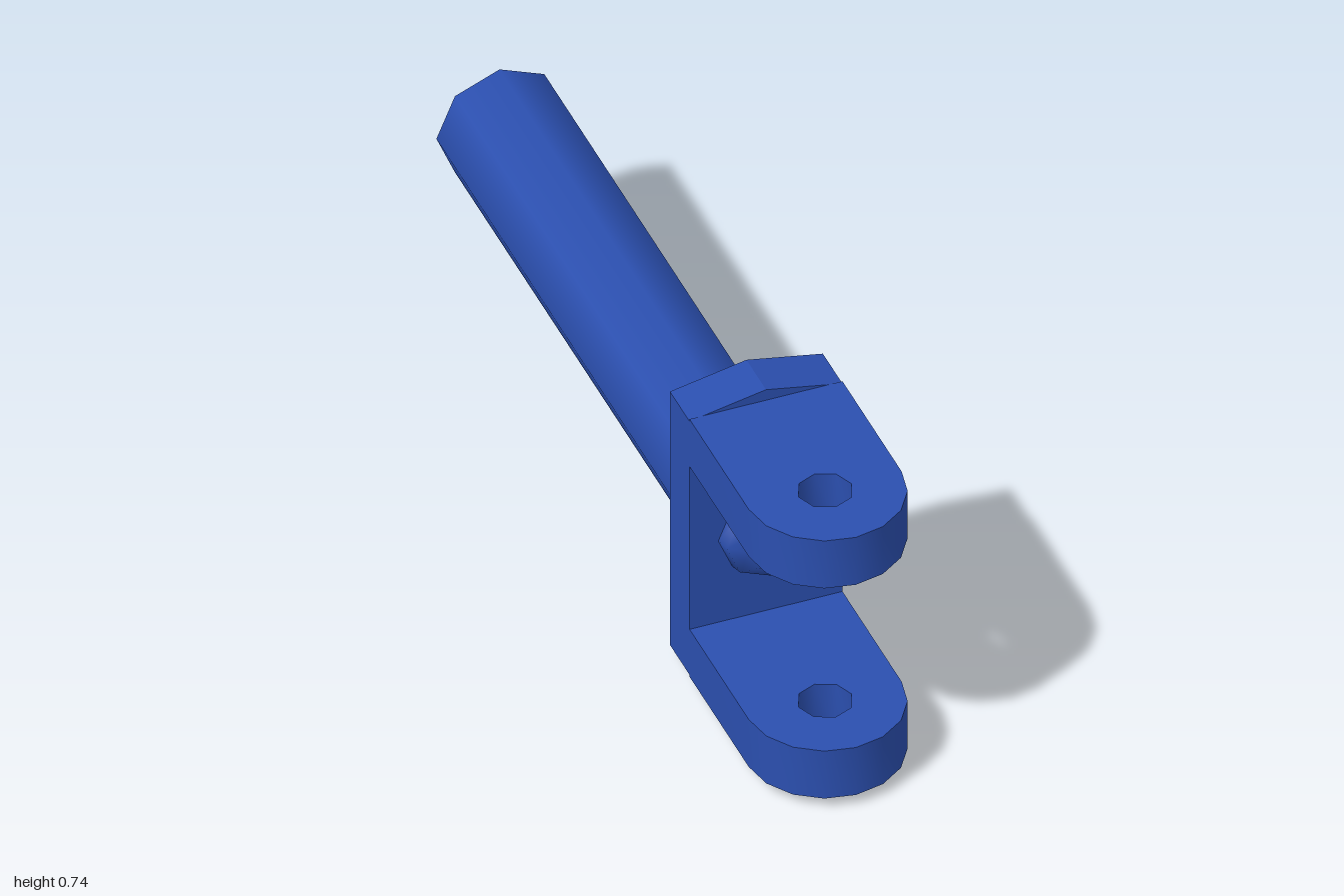
import * as THREE from 'three';
import { toCreasedNormals } from 'three/addons/utils/BufferGeometryUtils.js';

const MID = 0.371;    // height of the shaft axis
const HALF = 0.173;   // half width of the fork
const BACK = 0.385;   // rear face of the plate
const FRONT = 0.495;  // front face of the plate

// Points along an arc, angles in eighths of a turn
function arc(cx, cy, r, from, to, steps) {
  return Array.from({ length: steps + 1 }, (_, i) => {
    const a = (from + (to - from) * i / steps) * Math.PI / 4;
    return new THREE.Vector2(cx + r * Math.cos(a), cy + r * Math.sin(a));
  });
}

export function createModel() {
  const group = new THREE.Group();
  const blue = new THREE.MeshStandardMaterial({ color: 0x2b4faf });
  const add = (name, geometry) => {
    const mesh = new THREE.Mesh(geometry, blue);
    mesh.name = name;
    group.add(mesh);
    return mesh;
  };

  // Six-sided back plate with shallow peaks at top and bottom
  const plate = new THREE.Shape([
    [HALF, -0.337], [HALF, 0.337], [0, 0.371],
    [-HALF, 0.337], [-HALF, -0.337], [0, -0.371],
  ].map(([x, y]) => new THREE.Vector2(x, y)));
  add('backPlate', new THREE.ExtrudeGeometry(plate, { depth: FRONT - BACK, bevelEnabled: false }))
    .position.set(0, MID, BACK);

  // Two rounded prongs, each with an eight-sided pin hole
  const outline = new THREE.Shape([
    new THREE.Vector2(-HALF, FRONT), new THREE.Vector2(HALF, FRONT),
    ...arc(0, 1 - HALF, HALF, 0, 4, 8),
  ]);
  outline.holes.push(new THREE.Path(arc(0, 1 - HALF, 0.06, 0, 7, 7).reverse()));
  const prong = new THREE.ExtrudeGeometry(outline, { depth: 0.126, bevelEnabled: false });
  prong.rotateX(Math.PI / 2);
  const prongGeometry = toCreasedNormals(prong, 0.9);
  add('upperProng', prongGeometry).position.y = 0.714;
  add('lowerProng', prongGeometry).position.y = 0.155;

  // Eight-sided shaft running backwards
  const shaft = new THREE.CylinderGeometry(0.143, 0.143, BACK + 1, 8);
  shaft.rotateX(Math.PI / 2);
  add('shaft', shaft).position.set(0, MID, (BACK - 1) / 2);

  // Domed shaft end between the prongs
  const profile = [[0.108, 0], [0.101, 0.031], [0.064, 0.064], [0, 0.066]]
    .map(([r, y]) => new THREE.Vector2(r, y));
  const dome = new THREE.LatheGeometry(profile, 8);
  dome.rotateX(Math.PI / 2);
  add('shaftDome', dome).position.set(0, MID, FRONT);

  return group;
}
